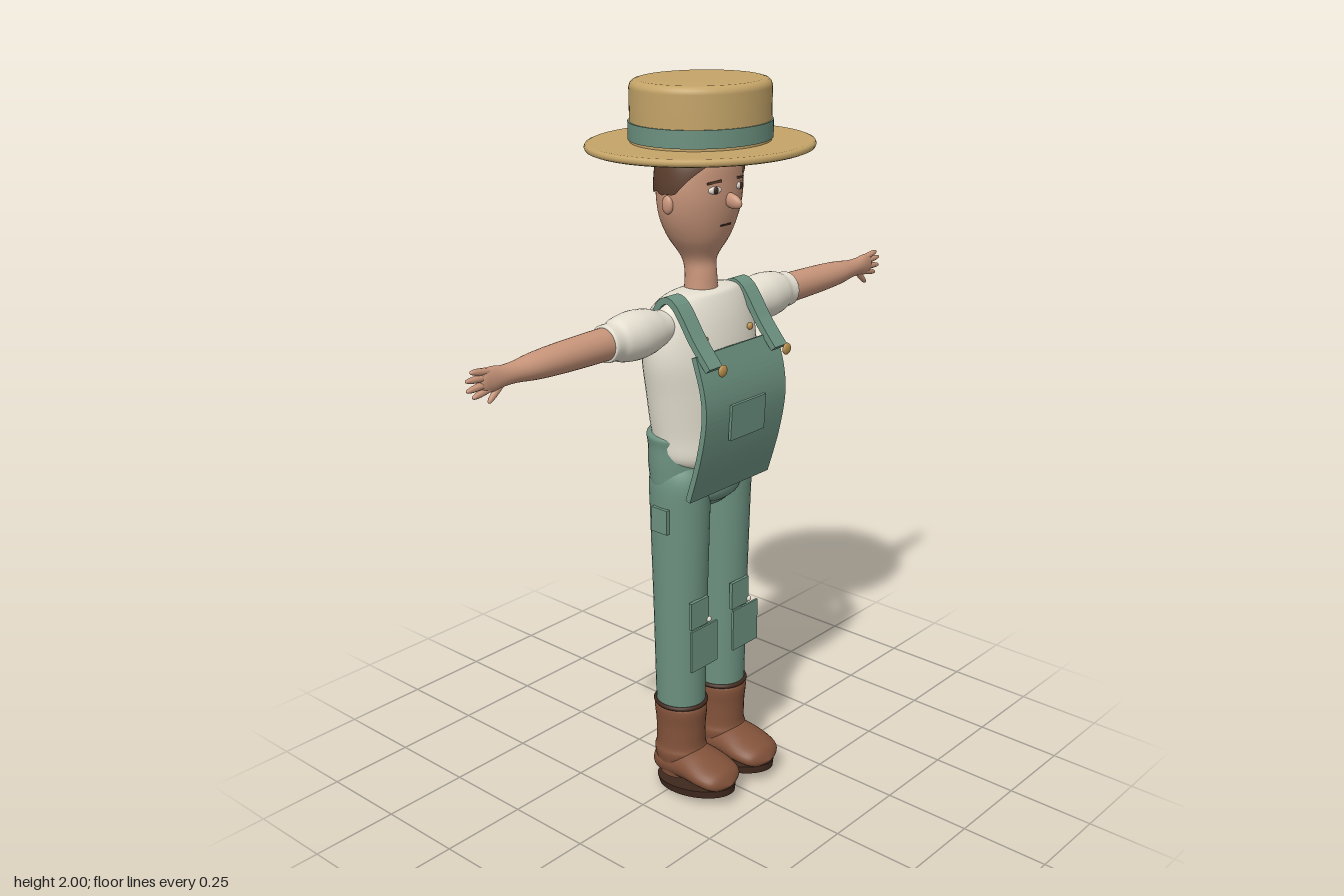
import * as THREE from 'three';

const mat = (name, color, side = THREE.FrontSide) => {
  const m = new THREE.MeshStandardMaterial({ color, side });
  m.name = name;
  return m;
};

// Closed skin: fn(t, angle) gives a point, t runs along the part and angle runs round it
function skin(fn, rows = 24, cols = 32) {
  const pos = [], idx = [];
  for (let i = 0; i <= rows; i++)
    for (let j = 0; j < cols; j++) pos.push(...fn(i / rows, (j / cols) * Math.PI * 2));
  for (let i = 0; i < rows; i++)
    for (let j = 0; j < cols; j++) {
      const k = (j + 1) % cols, a = i * cols + j, b = i * cols + k;
      idx.push(a, b, a + cols, b, b + cols, a + cols);
    }
  const g = new THREE.BufferGeometry();
  g.setAttribute('position', new THREE.Float32BufferAttribute(pos, 3));
  g.setIndex(idx);
  g.computeVertexNormals();
  return g;
}

// Smooth sample of a list of rings [y, rx, rz, cx, cz]
function sample(rings, t) {
  const n = rings.length - 1, s = Math.min(t * n, n - 1e-6), i = Math.floor(s), u = s - i;
  const at = (k, c) => rings[Math.max(0, Math.min(n, k))][c] ?? 0;
  return [0, 1, 2, 3, 4].map((c) => {
    const p0 = at(i - 1, c), p1 = at(i, c), p2 = at(i + 1, c), p3 = at(i + 2, c);
    return p1 + 0.5 * u * (p2 - p0 + u * (2 * p0 - 5 * p1 + 4 * p2 - p3 + u * (3 * (p1 - p2) + p3 - p0)));
  });
}

const loft = (rings, cols = 32) => skin((t, a) => {
  const [y, rx, rz, cx, cz] = sample(rings, t);
  return [cx + Math.max(rx, 0) * Math.sin(a), y, cz + Math.max(rz, 0) * Math.cos(a)];
}, (rings.length - 1) * 5, cols);

// Bent band: follows a side path of [z, y] points, extruded across x
function band(path, width, thick) {
  const pts = new THREE.SplineCurve(path.map((p) => new THREE.Vector2(...p))).getPoints(28);
  const edge = (s) => pts.map((p, i) => {
    const d = pts[Math.min(i + 1, 28)].clone().sub(pts[Math.max(i - 1, 0)]).normalize();
    return new THREE.Vector2(p.x - d.y * s, p.y + d.x * s);
  });
  const shape = new THREE.Shape([...edge(thick / 2), ...edge(-thick / 2).reverse()]);
  return new THREE.ExtrudeGeometry(shape, { depth: width, bevelEnabled: false })
    .rotateY(-Math.PI / 2).translate(width / 2, 0, 0);
}

export function createModel() {
  const root = new THREE.Group();
  root.name = 'farmer';
  const straw = mat('straw', 0xc4a468), green = mat('overallGreen', 0x6c9180);
  const skinTone = mat('skin', 0xc8957a), hairBrown = mat('hairBrown', 0x5a3d2c, THREE.DoubleSide);
  const cream = mat('shirtCream', 0xe4dfd0), leather = mat('bootLeather', 0x82523a);
  const dark = mat('soleDark', 0x40291e), gold = mat('buttonGold', 0xb98f4c);
  const white = mat('eyeWhite', 0xe8e2da);

  const add = (name, geo, m, x = 0, y = 0, z = 0, parent = root) => {
    const mesh = new THREE.Mesh(geo, m);
    mesh.name = name;
    mesh.position.set(x, y, z);
    parent.add(mesh);
    return mesh;
  };
  const box = (w, h, d) => new THREE.BoxGeometry(w, h, d);
  const ball = (rx, ry, rz) => new THREE.SphereGeometry(1, 20, 14).scale(rx, ry, rz);

  // Straw boater
  const lathe = (pts) => new THREE.LatheGeometry(pts.map((p) => new THREE.Vector2(...p)), 64).scale(1, 1, 0.905);
  add('hatBrim', lathe([[0, 1.828], [0.3, 1.826], [0.308, 1.829], [0.311, 1.836], [0.308, 1.843], [0.3, 1.846], [0, 1.846]]), straw);
  add('hatCrown', lathe([[0.19, 1.84], [0.191, 1.98], [0.188, 1.99], [0.181, 1.997], [0.17, 2], [0, 2]]), straw);
  add('hatBand', new THREE.CylinderGeometry(0.195, 0.195, 0.045, 64).scale(1, 1, 0.905), green, 0, 1.875);

  // Head and neck
  const headRings = [
    [1.43, 0.05, 0.046, 0, 0], [1.5, 0.043, 0.042, 0, 0], [1.545, 0.048, 0.047, 0, -0.006],
    [1.6, 0.087, 0.077, 0, -0.007], [1.65, 0.112, 0.093, 0, -0.007], [1.7, 0.124, 0.1, 0, -0.005],
    [1.75, 0.125, 0.101, 0, -0.004], [1.8, 0.113, 0.098, 0, -0.003], [1.835, 0.08, 0.075, 0, 0]];
  add('head', loft(headRings), skinTone);

  // Hair cap, parted over the forehead and scalloped at the back
  const hairRings = headRings.slice(5);
  add('hair', skin((t, a) => {
    const turn = Math.abs(a > Math.PI ? a - 2 * Math.PI : a);
    const k = Math.min(turn / 1.3, 1);
    const low = 1.817 - 0.092 * k * k + (turn > 1.5 ? 0.004 * Math.sin(turn * 14) : 0);
    const y = low + (1.833 - low) * t;
    const [, rx, rz, , cz] = sample(hairRings, (y - 1.7) / 0.15);
    return [(rx + 0.007) * Math.sin(a), y, cz + (rz + 0.006) * Math.cos(a)];
  }, 14, 64), hairBrown);

  // Face
  add('nose', ball(0.013, 0.019, 0.034), skinTone, 0, 1.704, 0.103).rotation.x = 0.25;
  add('mouth', box(0.038, 0.004, 0.006), dark, 0, 1.64, 0.083);
  for (const s of [-1, 1]) {
    add('ear', ball(0.011, 0.024, 0.017), skinTone, s * 0.125, 1.698, -0.002);
    add('eyeWhite', ball(0.019, 0.01, 0.006), white, s * 0.048, 1.735, 0.088).rotation.y = s * 0.3;
    add('iris', ball(0.009, 0.0095, 0.005), dark, s * 0.047, 1.735, 0.0915);
    const brow = add('eyebrow', box(0.04, 0.006, 0.006), hairBrown, s * 0.05, 1.755, 0.088);
    brow.rotation.set(0, s * 0.35, -s * 0.12);
  }

  // Shirt body
  add('shirt', loft([
    [1.468, 0, 0, 0, 0], [1.464, 0.09, 0.045, 0, 0.008], [1.445, 0.145, 0.072, 0, 0],
    [1.385, 0.183, 0.104, 0, -0.01], [1.3, 0.193, 0.112, 0, -0.003], [1.2, 0.178, 0.113, 0, -0.001],
    [1.09, 0.162, 0.109, 0, 0.002], [1.02, 0.15, 0.1, 0, 0.012], [0.98, 0.1, 0.07, 0, 0.02]].reverse(), 48), cream);

  // Trousers
  add('trouserSeat', loft([
    [0.855, 0, 0, 0, 0], [0.87, 0.08, 0.06, 0, 0], [0.92, 0.152, 0.092, 0, -0.006],
    [0.98, 0.164, 0.102, 0, -0.011], [1.05, 0.165, 0.103, 0, -0.012], [1.085, 0.163, 0.103, 0, -0.012],
    [1.086, 0.1, 0.06, 0, -0.012]], 48), green);
  add('trouserFront', ball(0.095, 0.045, 0.04), green, 0, 0.925, 0.058);

  // Bib with its pocket
  add('bib', band([[0.118, 1.33], [0.146, 1.24], [0.152, 1.16], [0.132, 1.05], [0.096, 0.93]], 0.325, 0.016), green);
  add('bibPocket', box(0.138, 0.098, 0.008), green, 0, 1.14, 0.162).rotation.x = 0.06;

  for (const s of [-1, 1]) {
    // Strap over the shoulder and its buttons
    const strap = band([[0.16, 1.3], [0.105, 1.365], [0.045, 1.448], [0, 1.452], [-0.05, 1.372], [-0.115, 1.3]], 0.05, 0.018);
    add('strap', strap, green, s * 0.132);
    add('strapButton', ball(0.016, 0.016, 0.007), gold, s * 0.13, 1.302, 0.187);
    add('shirtButton', ball(0.01, 0.01, 0.007), gold, s * 0.09, 1.355, 0.094);

    // Trouser leg
    const leg = new THREE.Group();
    leg.name = 'leg';
    leg.position.x = s * 0.086;
    root.add(leg);
    add('trouserLeg', loft([
      [0.245, 0.0675, 0.0705], [0.4, 0.0705, 0.073], [0.6, 0.074, 0.077],
      [0.85, 0.078, 0.085], [0.95, 0.077, 0.088], [1, 0.06, 0.07]]), green, 0, 0, 0, leg);
    // Knee patches keep the same offset on both legs
    add('kneePatch', box(0.107, 0.124, 0.006), green, -s * 0.086 + s * 0.088, 0.473, 0.088, leg);
    add('upperKneePatch', box(0.072, 0.08, 0.01), green, -0.014, 0.577, 0.08, leg);
    add('patchButton', ball(0.008, 0.008, 0.006), cream, 0.022, 0.547, 0.086, leg);

    // Boot
    add('bootShaft', loft([
      [0.05, 0.06, 0.062], [0.09, 0.067, 0.07], [0.125, 0.073, 0.077], [0.15, 0.067, 0.072],
      [0.21, 0.066, 0.074], [0.275, 0.067, 0.076], [0.278, 0.03, 0.03]]), leather, 0, 0, 0, leg);
    add('bootCuff', new THREE.TorusGeometry(0.068, 0.007, 8, 40).rotateX(Math.PI / 2).scale(1, 0.9, 1.06), dark, 0, 0.279, 0, leg);
    add('bootFoot', loft([
      [-0.076, 0, 0, 0, -0.08], [-0.07, 0.04, 0.035, 0, -0.078], [-0.03, 0.066, 0.05, 0, -0.085],
      [0.05, 0.07, 0.052, 0, -0.092], [0.12, 0.076, 0.038, 0, -0.085], [0.17, 0.058, 0.027, 0, -0.076],
      [0.192, 0, 0, 0, -0.068]]).rotateX(Math.PI / 2), leather, 0, 0, 0, leg);
    add('bootSole', new THREE.CylinderGeometry(1, 0.96, 0.022, 40).scale(0.079, 1, 0.134), dark, 0, 0.031, 0.059, leg).rotation.x = -0.14;

    // Arm, laid along +x and turned round for the other side
    const arm = new THREE.Group();
    arm.name = 'arm';
    arm.position.y = 1.388;
    if (s < 0) arm.rotation.y = Math.PI;
    root.add(arm);
    const along = (rings, cols) => loft(rings, cols).rotateZ(-Math.PI / 2);
    add('sleeve', along([
      [0.13, 0.04, 0.04], [0.175, 0.048, 0.05], [0.21, 0.059, 0.057], [0.26, 0.064, 0.061],
      [0.31, 0.058, 0.055], [0.335, 0.049, 0.048], [0.362, 0.048, 0.047], [0.364, 0.038, 0.038]]), cream, 0, 0, 0, arm);
    add('forearm', along([
      [0.33, 0.042, 0.042], [0.42, 0.041, 0.041], [0.52, 0.038, 0.04], [0.6, 0.033, 0.036],
      [0.66, 0.026, 0.026], [0.7, 0.026, 0.02], [0.735, 0.031, 0.015], [0.76, 0.024, 0.01],
      [0.77, 0, 0]]), skinTone, 0, 0, 0, arm);
    // Fingers: [x, y, tilt, length]
    const fingers = [[0.735, 0.02, 0.16, 0.062], [0.738, 0.008, 0.05, 0.073], [0.738, -0.006, -0.1, 0.072],
      [0.732, -0.019, -0.22, 0.062], [0.7, -0.014, -0.75, 0.062]];
    for (const [x, y, tilt, len] of fingers) {
      const f = along([[0, 0.009, 0.01], [len * 0.6, 0.0085, 0.008], [len * 0.92, 0.005, 0.005], [len, 0, 0]], 10);
      add('finger', f, skinTone, x, y, 0, arm).rotation.z = tilt;
    }
  }

  // Hip pockets: a peaked one on the left, a flat one on the right
  const peak = new THREE.CylinderGeometry(0.004, 0.0495, 0.034, 4, 1).toNonIndexed();
  peak.rotateY(Math.PI / 4).rotateZ(-Math.PI / 2).scale(1, 1, 0.8);
  peak.computeVertexNormals();
  add('leftHipPocket', peak, green, 0.18, 0.85, 0.002);
  add('rightHipPocket', box(0.012, 0.07, 0.055), green, -0.167, 0.853, 0.002);
  return root;
}
